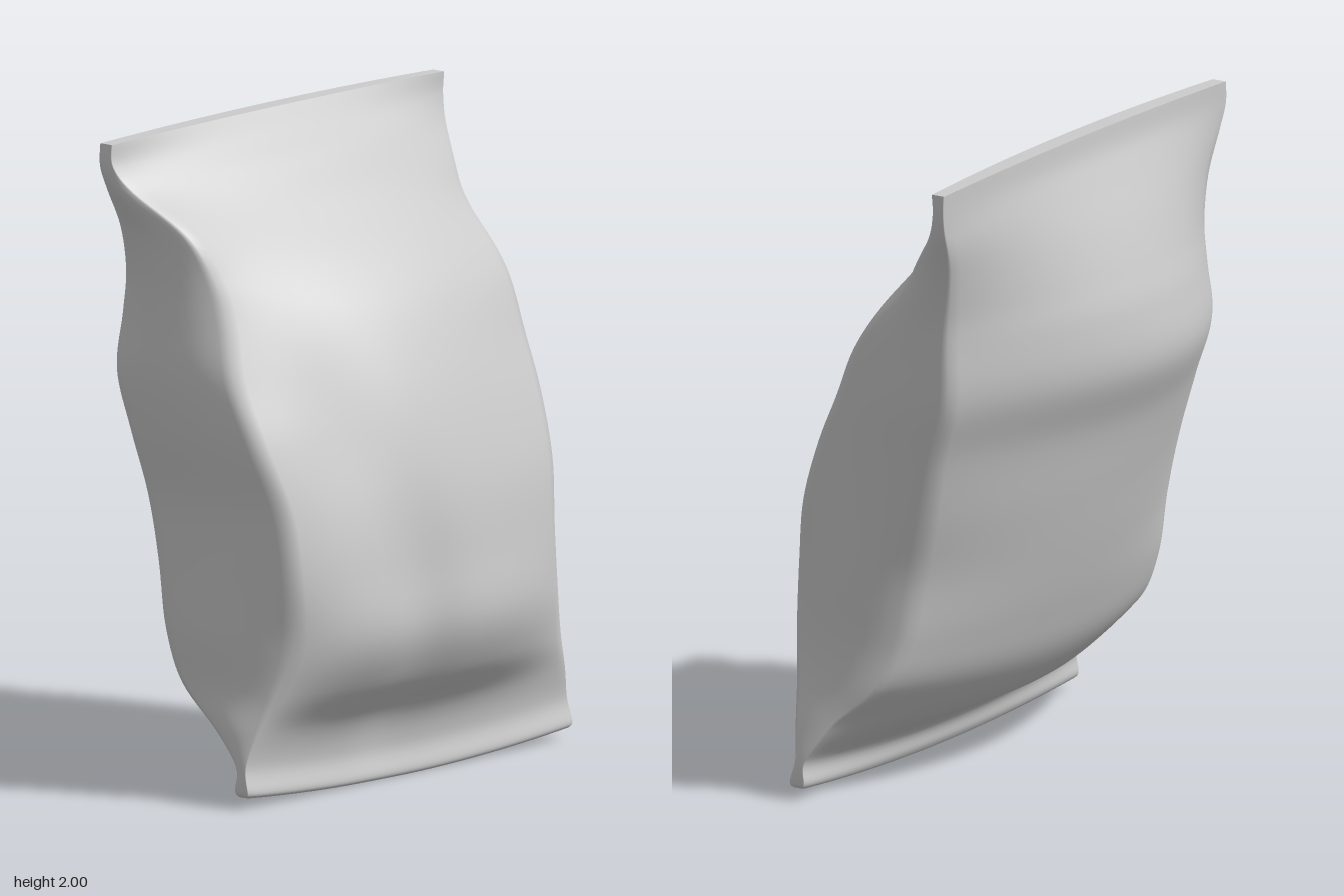
import * as THREE from 'three';

// Cross-sections from top seam to bottom seam:
// height, middle of -x face, middle of +x face, -x ridge, +x ridge,
// middle of +z side, middle of -z side, +z ridges, -z ridges
const SECTIONS = [
  [2.00, -0.315, -0.255, -0.315, -0.268, 0.77, -0.77, 0.77, -0.77],
  [1.93, -0.322, -0.20, -0.312, -0.257, 0.78, -0.77, 0.775, -0.765],
  [1.85, -0.35, -0.12, -0.31, -0.20, 0.765, -0.755, 0.745, -0.745],
  [1.72, -0.40, -0.02, -0.312, -0.04, 0.715, -0.715, 0.68, -0.69],
  [1.58, -0.445, 0.12, -0.32, 0.04, 0.70, -0.69, 0.645, -0.665],
  [1.45, -0.478, 0.225, -0.328, 0.09, 0.705, -0.685, 0.65, -0.66],
  [1.28, -0.488, 0.315, -0.322, 0.15, 0.72, -0.685, 0.685, -0.65],
  [1.10, -0.42, 0.385, -0.27, 0.235, 0.71, -0.675, 0.68, -0.63],
  [0.90, -0.365, 0.44, -0.225, 0.31, 0.68, -0.67, 0.645, -0.60],
  [0.70, -0.31, 0.468, -0.175, 0.345, 0.685, -0.67, 0.64, -0.57],
  [0.50, -0.245, 0.48, -0.135, 0.34, 0.70, -0.67, 0.635, -0.59],
  [0.34, -0.175, 0.41, -0.06, 0.30, 0.70, -0.69, 0.67, -0.65],
  [0.21, -0.05, 0.29, 0.10, 0.265, 0.73, -0.72, 0.71, -0.71],
  [0.10, 0.165, 0.25, 0.205, 0.245, 0.745, -0.745, 0.742, -0.742],
  [0.02, 0.205, 0.26, 0.207, 0.26, 0.75, -0.75, 0.75, -0.75],
  [0.00, 0.218, 0.25, 0.218, 0.25, 0.74, -0.74, 0.74, -0.74],
];
const STEPS = 6, FACE = 36, SIDE = 14;
const { lerp, smoothstep } = THREE.MathUtils;
const bell = (v, centre, width) => Math.exp(-(((v - centre) / width) ** 2));

// Smooth blend between neighbouring sections
function sectionAt(t) {
  const last = SECTIONS.length - 1;
  const i = Math.min(Math.floor(t), last - 1), f = t - i;
  const at = (j) => SECTIONS[THREE.MathUtils.clamp(j, 0, last)];
  return SECTIONS[0].map((_, k) => {
    const a = at(i)[k], b = at(i + 1)[k];
    const m0 = (b - at(i - 1)[k]) / 2, m1 = (at(i + 2)[k] - a) / 2;
    const f2 = f * f, f3 = f2 * f;
    return (2 * f3 - 3 * f2 + 1) * a + (f3 - 2 * f2 + f) * m0 + (3 * f2 - 2 * f3) * b + (f3 - f2) * m1;
  });
}

// One closed loop: +x face, +z side, -x face, -z side
function loopAt(t) {
  const [y, xL, xR, cL, cR, zF, zB, kF, kB] = sectionAt(t);
  const pts = [];
  // Seams curve slightly along their length
  const bow = (z) => {
    const q = (z / 0.76) ** 2;
    return y + 0.035 * q * Math.max(0, 1 - y / 0.4) - 0.012 * q * Math.max(0, (y - 1.7) / 0.3);
  };
  const add = (x, z) => pts.push(new THREE.Vector3(x, bow(z), z));
  const puff = (s) => 1 - s * s;
  // The -z panel is narrower than the +z panel
  const cRB = cR - 0.12 * bell(y, 1.68, 0.17);
  const cLB = cL + 0.065 * smoothstep(y, 0.1, 0.3) * (1 - smoothstep(y, 1.45, 1.85));
  // Ridges of the -x face lie further out near the bottom
  const kLF = lerp(kF, zF, 0.6 * bell(y, 0.5, 0.4));
  const kLB = lerp(kB, zB, 0.4);

  // +x face, with two soft dents
  const power = 2 + 1.2 * bell(y, 0.45, 0.22);
  for (let i = 0; i < FACE; i++) {
    const s = (2 * i) / FACE - 1, z = lerp(kB, kF, i / FACE);
    const base = lerp(cRB, cR, i / FACE);
    const swell = s < 0 ? puff(s) : 1 - s ** power;
    const dent = 0.03 * bell(z, 0.15, 0.13) * bell(y, 0.5, 0.35)
      + 0.035 * bell(z, 0.42, 0.18) * bell(y, 1.1, 0.28);
    add(base + (xR - base) * swell - dent * puff(s), z);
  }
  // +z side
  for (let i = 0; i < SIDE; i++) {
    const f = i / SIDE;
    add(lerp(cR, cL, f), lerp(kF, kLF, f) + (zF - (kF + kLF) / 2) * puff(2 * f - 1));
  }
  // -x face, fullest towards +z
  const skew = lerp(0.2, 0.45, smoothstep(y, 0.6, 1.3));
  for (let i = 0; i < FACE; i++) {
    const s = 1 - (2 * i) / FACE, base = lerp(cL, cLB, i / FACE);
    add(base + (xL - base) * puff(s) * (0.97 + skew * s), lerp(kLF, kLB, i / FACE));
  }
  // -z side
  for (let i = 0; i < SIDE; i++) {
    const f = i / SIDE;
    add(lerp(cLB, cRB, f), lerp(kLB, kB, f) + (zB - (kB + kLB) / 2) * puff(2 * f - 1));
  }
  return pts;
}

function toGeometry(points, index) {
  const g = new THREE.BufferGeometry().setFromPoints(points);
  g.setIndex(index);
  g.computeVertexNormals();
  return g;
}

// Narrow strip closing a seam, joining opposite points of the two faces
function capGeometry(loop, up) {
  const index = [];
  const opposite = (i) => 2 * FACE + SIDE - i;
  for (let i = 0; i < FACE; i++) {
    const a = i, b = i + 1, c = opposite(i + 1), d = opposite(i);
    if (up) index.push(a, d, b, b, d, c);
    else index.push(a, b, d, b, c, d);
  }
  return toGeometry(loop, index);
}

export function createModel() {
  const group = new THREE.Group();
  group.name = 'puffedBag';
  const material = new THREE.MeshStandardMaterial({ color: 0xcccccc, side: THREE.DoubleSide });
  const addPart = (name, geometry) => {
    const mesh = new THREE.Mesh(geometry, material);
    mesh.name = name;
    group.add(mesh);
  };

  // Pillow body skinned over the loops
  const loops = [], index = [];
  const rows = (SECTIONS.length - 1) * STEPS;
  for (let r = 0; r <= rows; r++) loops.push(loopAt(r / STEPS));
  const n = loops[0].length;
  for (let r = 0; r < rows; r++)
    for (let i = 0; i < n; i++) {
      const a = r * n + i, b = r * n + ((i + 1) % n);
      index.push(a, b, a + n, b, b + n, a + n);
    }
  addPart('bagBody', toGeometry(loops.flat(), index));

  // Closed seam ends
  addPart('topSeam', capGeometry(loops[0], true));
  addPart('bottomSeam', capGeometry(loops[rows], false));
  return group;
}
